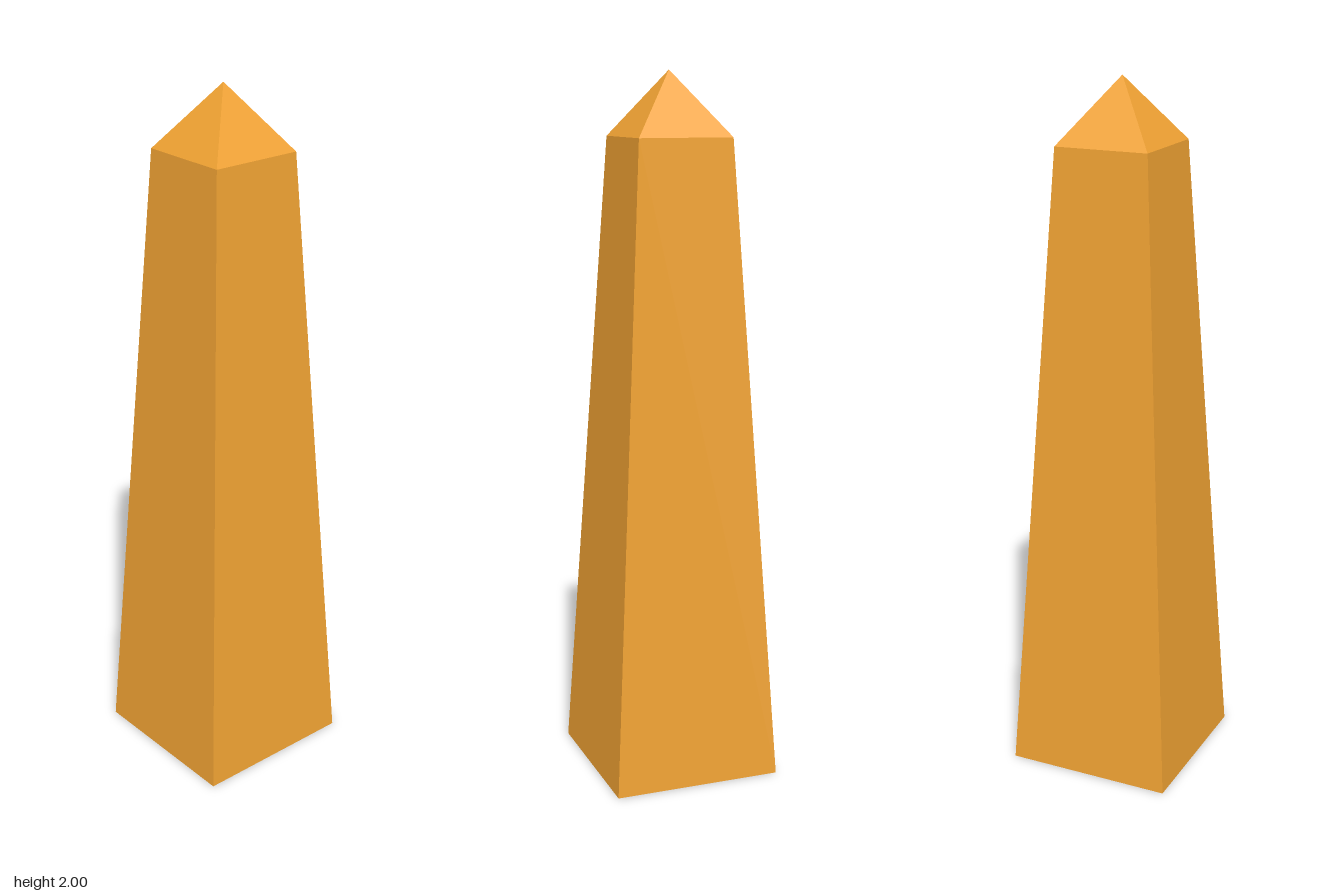
import * as THREE from 'three';

const BASE_HALF = 0.242; // half width at the ground
const NECK_HALF = 0.136; // half width where the tip begins
const NECK_Y = 1.82;
const TOP_Y = 2;

// Four-sided solid from a profile of [half width, height] pairs
function squareTower(name, profile, material) {
  const points = profile.map(([half, y]) => new THREE.Vector2(half * Math.SQRT2, y));
  const mesh = new THREE.Mesh(new THREE.LatheGeometry(points, 4, Math.PI / 4), material);
  mesh.name = name;
  return mesh;
}

export function createModel() {
  const group = new THREE.Group();
  group.name = 'obelisk';
  const stone = new THREE.MeshStandardMaterial({ color: 0xf0a233, flatShading: true });

  // Tapered shaft, closed underneath
  group.add(squareTower('shaft', [[0, 0], [BASE_HALF, 0], [NECK_HALF, NECK_Y]], stone));

  // Pyramid tip
  group.add(squareTower('pyramidTip', [[NECK_HALF, NECK_Y], [0, TOP_Y]], stone));

  return group;
}
